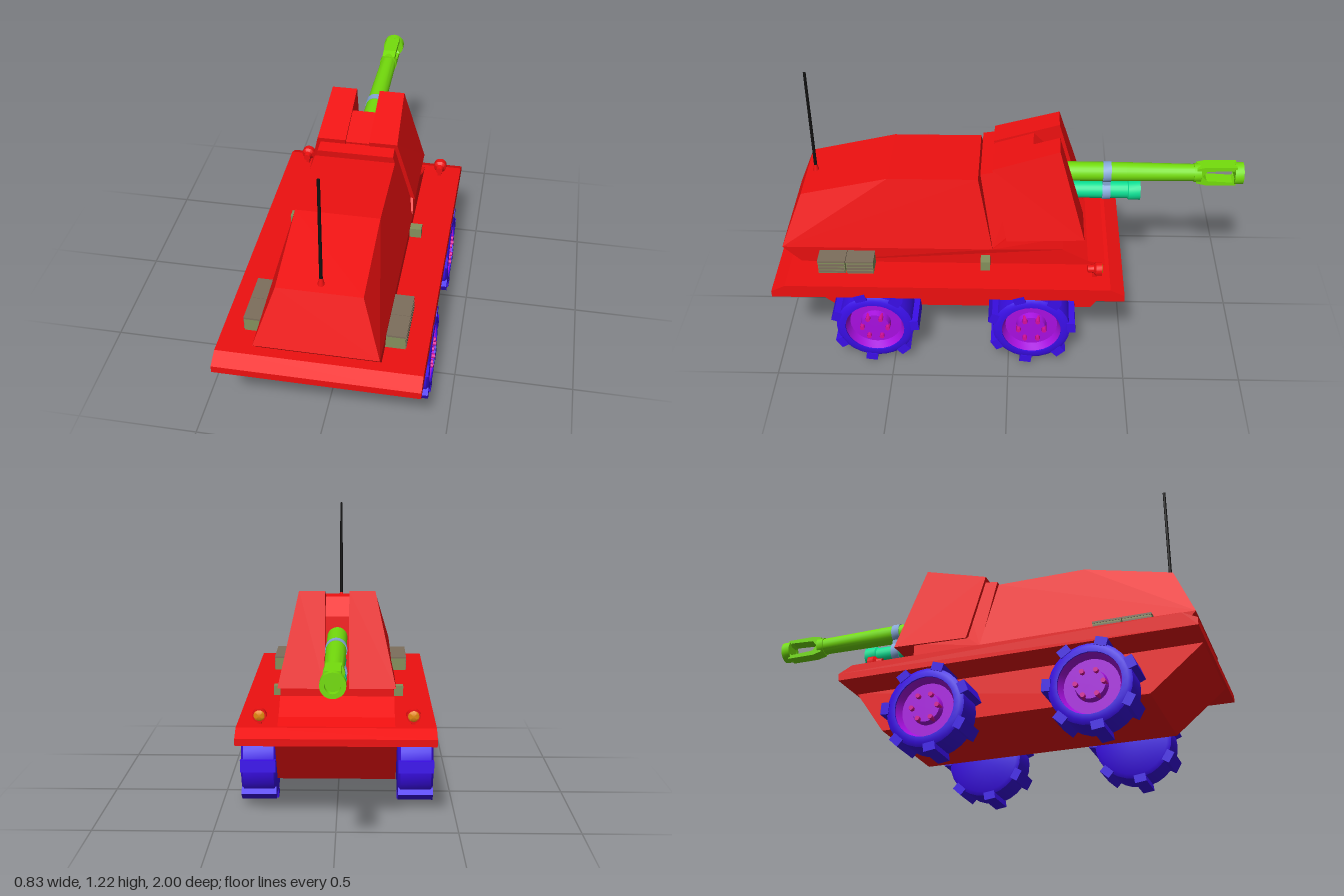
import * as THREE from 'three';
import { toCreasedNormals } from 'three/addons/utils/BufferGeometryUtils.js';

const mat = (color) => new THREE.MeshStandardMaterial({ color });
const RED = mat(0xee1010), BLUE = mat(0x3a0ee8), PURPLE = mat(0xa80fe0), PINK = mat(0xd8109a);
const GREEN = mat(0x74dd0c), TEAL = mat(0x0be094), STEEL = mat(0x86a8d8), OLIVE = mat(0x84905c);
const BROWN = mat(0x7d6f5c), BLACK = mat(0x111111), AMBER = mat(0xe88a10);

function add(parent, name, geometry, material, x = 0, y = 0, z = 0) {
  const mesh = new THREE.Mesh(geometry, material);
  mesh.name = name;
  mesh.position.set(x, y, z);
  parent.add(mesh);
  return mesh;
}

// Flat-sided solid: a side outline of [z, y, xMin, xMax] corners
function prism(points) {
  let p = points;
  const outline = (q) => q.map(([z, y]) => new THREE.Vector2(z, y));
  if (THREE.ShapeUtils.isClockWise(outline(p))) p = [...p].reverse();
  const pos = [];
  const corner = (i, side) => pos.push(p[i][2 + side], p[i][1], p[i][0]);
  for (const [a, b, c] of THREE.ShapeUtils.triangulateShape(outline(p), [])) {
    corner(a, 0); corner(b, 0); corner(c, 0);
    corner(c, 1); corner(b, 1); corner(a, 1);
  }
  p.forEach((_, a) => {
    const b = (a + 1) % p.length;
    corner(b, 0); corner(a, 0); corner(a, 1);
    corner(b, 0); corner(a, 1); corner(b, 1);
  });
  const g = new THREE.BufferGeometry();
  g.setAttribute('position', new THREE.Float32BufferAttribute(pos, 3));
  g.computeVertexNormals();
  return g;
}
// The same solid, symmetric about x = 0, from [z, y, halfWidth]
const symmetric = (points) => prism(points.map(([z, y, w]) => [z, y, -w, w]));

function lathe(profile, segments) {
  const g = new THREE.LatheGeometry(profile.map(([r, h]) => new THREE.Vector2(r, h)), segments);
  return toCreasedNormals(g, 0.6);
}
// Turned part along z; the profile is [radius, distance towards -z]
const turnedZ = (profile, segments = 20) => lathe(profile, segments).rotateX(-Math.PI / 2);

function makeWheel(name, side) {
  const wheel = new THREE.Group();
  wheel.name = name;
  const tyre = lathe([[0, -0.075], [0.15, -0.075], [0.166, -0.065], [0.166, 0.065], [0.15, 0.075],
    [0.127, 0.075], [0.125, 0.03]], 28).rotateZ(-Math.PI / 2);
  add(wheel, 'tyre', tyre, BLUE);
  const rim = lathe([[0.127, 0.07], [0.112, 0.035], [0.066, 0.035], [0.06, 0.062], [0, 0.062]], 28)
    .rotateZ(-Math.PI / 2);
  add(wheel, 'rim', rim, PURPLE);
  for (let i = 0; i < 7; i++) {
    const a = side * 0.31 + (i * Math.PI * 2) / 7;
    const lug = add(wheel, 'treadLug', new THREE.BoxGeometry(0.15, 0.035, 0.05), BLUE,
      0, 0.172 * Math.cos(a), 0.172 * Math.sin(a));
    lug.rotation.x = a;
  }
  for (let i = 0; i < 6; i++) {
    const a = (i * Math.PI) / 3;
    const bolt = new THREE.CylinderGeometry(0.01, 0.01, 0.045, 8).rotateZ(Math.PI / 2);
    add(wheel, 'wheelBolt', bolt, PINK, 0.057, 0.055 * Math.sin(a), 0.055 * Math.cos(a));
  }
  if (side < 0) wheel.rotation.y = Math.PI;
  return wheel;
}

function makeGun() {
  const gun = new THREE.Group();
  gun.name = 'gun';
  add(gun, 'barrel', turnedZ([[0, 0.05], [0.043, 0.05], [0.041, 0.5], [0.037, 0.79], [0.041, 0.79],
    [0.041, 0.82], [0, 0.83]]), GREEN, 0, 0.743, 0);

  // Muzzle brake with a window through its sides
  const brake = new THREE.Shape([[0.8, -0.036], [0.84, -0.046], [0.97, -0.046], [0.97, 0.046],
    [0.84, 0.046], [0.8, 0.036]].map(([u, v]) => new THREE.Vector2(u, v)));
  brake.holes.push(new THREE.Path([[0.825, 0], [0.845, 0.024], [0.955, 0.03], [0.965, 0.02],
    [0.965, -0.02], [0.955, -0.03], [0.845, -0.024]].map(([u, v]) => new THREE.Vector2(u, v))));
  const body = new THREE.ExtrudeGeometry(brake, { depth: 0.06, bevelEnabled: false });
  body.translate(0, 0, -0.03).rotateY(Math.PI / 2);
  add(gun, 'muzzleBrake', body, GREEN, 0, 0.743, 0);
  add(gun, 'muzzleRing', turnedZ([[0.03, 0.962], [0.048, 0.962], [0.048, 1], [0.03, 1], [0.03, 0.962]]),
    GREEN, 0, 0.743, 0);

  // Recoil cylinder and the clamp holding it
  add(gun, 'recoilCylinder', turnedZ([[0, 0.1], [0.038, 0.1], [0.038, 0.51], [0.044, 0.515],
    [0.044, 0.565], [0, 0.565]]), TEAL, 0, 0.648, 0);
  for (const y of [0.743, 0.65]) {
    add(gun, 'clampRing', turnedZ([[0.036, 0.4], [0.045, 0.4], [0.045, 0.435], [0.036, 0.435], [0.036, 0.4]]),
      STEEL, 0, y, 0);
  }
  add(gun, 'clampBridge', new THREE.BoxGeometry(0.05, 0.05, 0.034), STEEL, 0, 0.697, -0.4175);
  return gun;
}

export function createModel() {
  const model = new THREE.Group();
  model.name = 'armouredGunCarrier';

  // Hull and deck
  add(model, 'lowerHull', symmetric([[0.77, 0.18, 0.245], [0.995, 0.365, 0.245], [-0.485, 0.365, 0.245],
    [-0.36, 0.18, 0.245]]), RED);
  add(model, 'deck', symmetric([[1, 0.36, 0.408], [1, 0.39, 0.408], [0.94, 0.42, 0.408],
    [-0.43, 0.42, 0.408], [-0.49, 0.39, 0.408], [-0.49, 0.36, 0.408]]), RED);
  add(model, 'superstructureBase', symmetric([[0.89, 0.415, 0.24], [0.97, 0.5, 0.245], [0.07, 0.5, 0.245],
    [0.0, 0.56, 0.235], [-0.23, 0.56, 0.235], [-0.23, 0.5, 0.24], [-0.34, 0.44, 0.24],
    [-0.42, 0.418, 0.24]]), RED);

  // Rear casemate and the neck joining it to the gun shield
  add(model, 'casemate', symmetric([[0.97, 0.5, 0.245], [0.88, 0.725, 0.168], [0.51, 0.81, 0.17],
    [0.13, 0.81, 0.17], [0.07, 0.5, 0.245]]), RED);
  add(model, 'shieldNeck', symmetric([[0.12, 0.83, 0.16], [0.07, 0.5, 0.238], [-0.05, 0.5, 0.238],
    [-0.05, 0.86, 0.155]]), RED);

  // Gun shield: two cheeks beside a recessed centre
  const cheek = [[0.07, 0.86, 0.05, 0.17], [-0.21, 0.945, 0.05, 0.158], [-0.32, 0.555, 0.05, 0.245],
    [0.01, 0.545, 0.05, 0.245]];
  add(model, 'leftShieldCheek', prism(cheek), RED);
  add(model, 'rightShieldCheek', prism(cheek.map(([z, y, a, b]) => [z, y, -b, -a])), RED);
  add(model, 'shieldCentre', symmetric([[0.065, 0.85, 0.052], [-0.1, 0.903, 0.052], [-0.17, 0.83, 0.052],
    [-0.2, 0.55, 0.052], [0.01, 0.55, 0.052]]), RED);

  model.add(makeGun());

  // Whip antenna
  add(model, 'antennaBase', new THREE.CylinderGeometry(0.007, 0.015, 0.035, 12), RED, 0, 0.745, 0.84);
  add(model, 'antenna', new THREE.CylinderGeometry(0.006, 0.007, 0.46, 8), BLACK, 0, 0.985, 0.84);

  for (const side of [1, -1]) {
    const label = side > 0 ? 'left' : 'right';
    for (const [end, z] of [['Front', 0.575], ['Rear', -0.1]]) {
      const wheel = makeWheel(`${label}${end}Wheel`, side);
      wheel.position.set(side * 0.335, 0.19, z);
      model.add(wheel);
    }

    // Stowage crates with slatted sides
    for (const z of [0.632, 0.752]) {
      add(model, `${label}Crate`, new THREE.BoxGeometry(0.08, 0.058, 0.115), OLIVE, side * 0.28, 0.449, z);
      add(model, `${label}CrateLid`, new THREE.BoxGeometry(0.084, 0.008, 0.118), BROWN, side * 0.28, 0.481, z);
      for (const y of [0.43, 0.447, 0.464]) {
        add(model, `${label}CrateSlat`, new THREE.BoxGeometry(0.006, 0.011, 0.11), BROWN, side * 0.32, y, z);
      }
    }
    add(model, `${label}SmallBox`, new THREE.BoxGeometry(0.05, 0.045, 0.04), OLIVE, side * 0.265, 0.442, 0.1);

    // Headlamps
    add(model, `${label}LampHousing`, turnedZ([[0, 0.335], [0.015, 0.335], [0.018, 0.36], [0.029, 0.37],
      [0.029, 0.395], [0.023, 0.395]]), RED, side * 0.315, 0.46, 0);
    add(model, `${label}LampLens`, turnedZ([[0.023, 0.394], [0.016, 0.399], [0, 0.401]]), AMBER,
      side * 0.315, 0.46, 0);
    add(model, `${label}LampStem`, new THREE.BoxGeometry(0.016, 0.04, 0.02), RED, side * 0.315, 0.435, -0.365);
  }
  return model;
}
